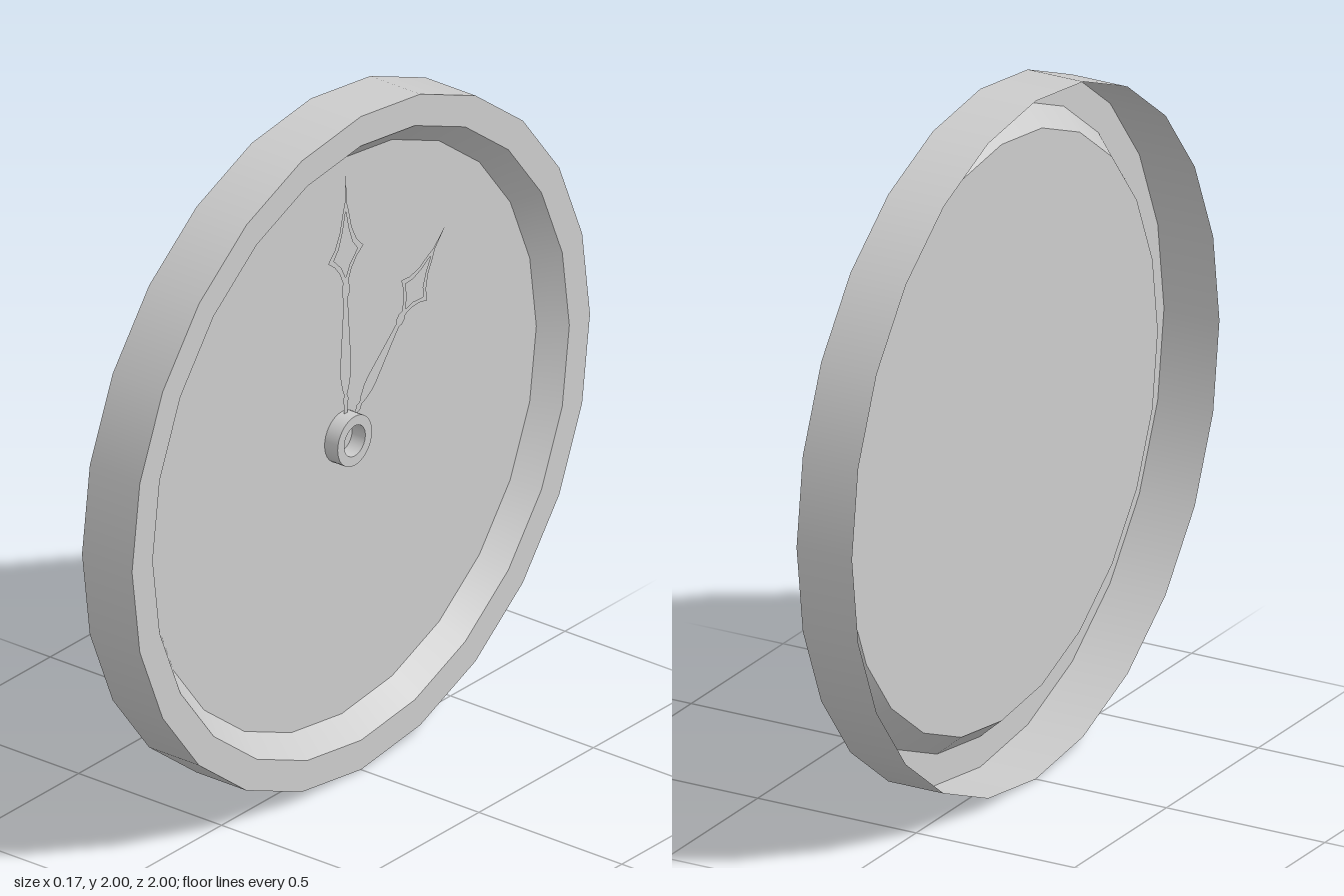
import * as THREE from 'three';

const material = new THREE.MeshStandardMaterial({ color: 0xcccccc, side: THREE.DoubleSide });
const DISC_Z = 0.02;

// Turned part about the z axis; every profile step is its own lathe, so the edges stay sharp
function turned(name, profile, sides) {
  const group = new THREE.Group();
  group.name = name;
  for (let i = 0; i < profile.length - 1; i++) {
    const points = [profile[i], profile[i + 1]].map(([r, z]) => new THREE.Vector2(r, z));
    const geometry = new THREE.LatheGeometry(points, sides).rotateX(Math.PI / 2);
    const mesh = new THREE.Mesh(geometry, material);
    mesh.name = `${name}Surface${i + 1}`;
    group.add(mesh);
  }
  return group;
}

// Closed outline from half widths [w, y], mirrored about the y axis
function mirrored(Type, half, scale) {
  const right = half.map(([w, y]) => new THREE.Vector2(w, y * scale));
  const left = half.map(([w, y]) => new THREE.Vector2(-w, y * scale)).reverse();
  return new Type([...right, ...left]);
}

// Ornate flat hand: beaded shaft and a pierced, concave diamond with a long tip
function hand(name, scale, angle, z) {
  const outline = [
    [0.007, 0.07], [0.007, 0.1], [0.013, 0.115], [0.006, 0.13], [0.014, 0.15],
    [0.023, 0.19], [0.024, 0.22], [0.018, 0.3], [0.012, 0.38], [0.009, 0.425],
    [0.017, 0.44], [0.017, 0.46], [0.011, 0.475], [0.026, 0.51], [0.048, 0.538],
    [0.077, 0.56], [0.048, 0.59], [0.026, 0.635], [0.013, 0.69], [0.004, 0.72], [0.001, 0.8],
  ];
  const opening = [
    [0.002, 0.492], [0.018, 0.525], [0.052, 0.56], [0.03, 0.588], [0.013, 0.635], [0.001, 0.69],
  ];
  const shape = mirrored(THREE.Shape, outline, scale);
  shape.holes.push(mirrored(THREE.Path, opening, scale));
  const mesh = new THREE.Mesh(new THREE.ShapeGeometry(shape), material);
  mesh.name = name;
  mesh.position.z = z;
  mesh.rotation.z = angle;
  return mesh;
}

export function createModel() {
  const model = new THREE.Group();
  model.name = 'wallClock';

  // Dial assembly is built facing +z, then turned to face +x
  const clock = new THREE.Group();
  clock.name = 'clockBody';
  clock.rotation.y = Math.PI / 2;
  clock.position.y = 1;
  model.add(clock);

  // Thin rim, open at the back, with a sloping inner bezel
  clock.add(turned('rim', [[1, -0.0875], [1, 0.0875], [0.91, 0.0875], [0.85, DISC_Z]], 24));

  // Dial and the small plug at its middle
  clock.add(turned('dial', [[0.85, DISC_Z], [0.046, DISC_Z]], 24));
  const plug = new THREE.Mesh(new THREE.CircleGeometry(0.046, 24), material);
  plug.name = 'centrePlug';
  plug.position.z = DISC_Z;
  clock.add(plug);

  // Hollow hub
  clock.add(turned('hub', [[0.075, DISC_Z], [0.075, 0.066], [0.046, 0.066], [0.046, DISC_Z]], 32));

  // Hands
  clock.add(hand('minuteHand', 1, 0, 0.034));
  clock.add(hand('hourHand', 0.8, -0.75, 0.029));

  return model;
}
